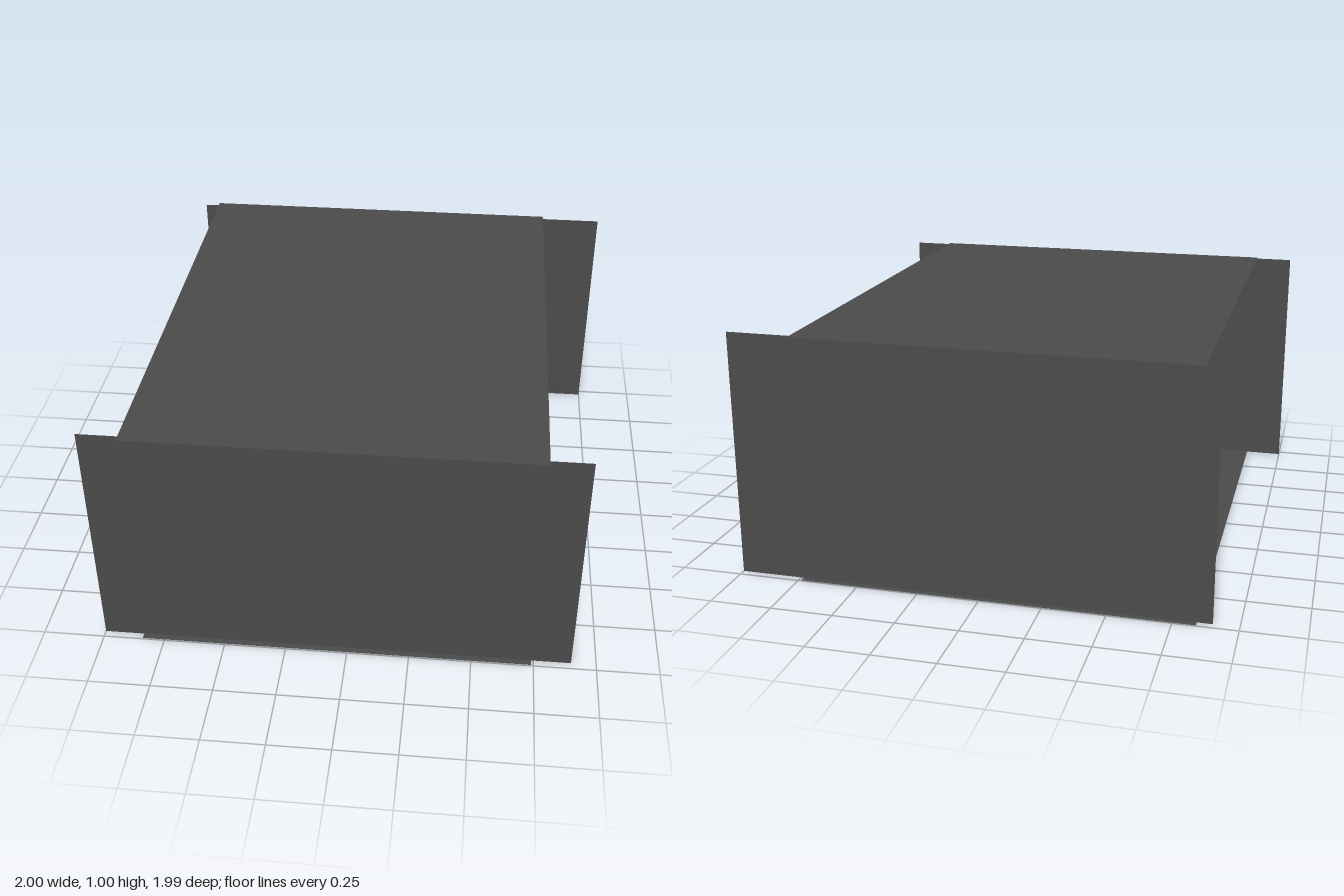
import * as THREE from 'three';

const sheetMat = new THREE.MeshStandardMaterial({ color: 0x4a4a4a, side: THREE.DoubleSide });
const pipeMat = new THREE.MeshStandardMaterial({ color: 0x0d0d0d, side: THREE.DoubleSide });

// Thin flat sheet; rotation about x lays it flat, about y turns it sideways
function sheet(name, w, h, pos, rx = 0, ry = 0) {
  const mesh = new THREE.Mesh(new THREE.PlaneGeometry(w, h), sheetMat);
  mesh.name = name;
  mesh.position.set(...pos);
  mesh.rotation.set(rx, ry, 0);
  return mesh;
}

// Hollow ring or pipe running along x from x0 to x1
function pipe(name, inner, outer, x0, x1, y, z) {
  const len = Math.abs(x1 - x0);
  const shape = new THREE.Shape().absarc(0, 0, outer, 0, Math.PI * 2);
  shape.holes.push(new THREE.Path().absarc(0, 0, inner, 0, Math.PI * 2, true));
  const geo = new THREE.ExtrudeGeometry(shape, { depth: len, bevelEnabled: false, curveSegments: 32 });
  geo.rotateY(Math.PI / 2);
  const mesh = new THREE.Mesh(geo, pipeMat);
  mesh.name = name;
  mesh.position.set(Math.min(x0, x1), y, z);
  return mesh;
}

export function createModel() {
  const model = new THREE.Group();
  model.name = 'ventilatedBox';

  // Front and back plates, staggered sideways
  model.add(sheet('frontPlate', 1.9, 1, [-0.05, 0.5, 0.97]));
  model.add(sheet('backPlate', 1.9, 1, [0.05, 0.5, -0.97], 0, Math.PI));

  // Lid and floor
  model.add(sheet('topPanel', 1.58, 1.99, [-0.05, 1, 0], -Math.PI / 2));
  model.add(sheet('bottomPanel', 1.58, 1.99, [-0.05, 0, 0], Math.PI / 2));

  // Recessed side panels
  model.add(sheet('leftPanel', 1.91, 1, [0.51, 0.5, 0], 0, Math.PI / 2));
  model.add(sheet('rightPanel', 1.91, 1, [-0.56, 0.5, 0], 0, -Math.PI / 2));

  // Flanged pipe on the left, short collar on the right
  const outlet = new THREE.Group();
  outlet.name = 'outletPipe';
  outlet.add(pipe('outletFlange', 0.05, 0.067, 0.51, 0.58, 0.705, -0.5));
  outlet.add(pipe('outletTube', 0.05, 0.057, 0.51, 0.725, 0.705, -0.5));
  model.add(outlet);
  model.add(pipe('inletCollar', 0.036, 0.053, -0.56, -0.61, 0.66, 0.39));

  return model;
}
